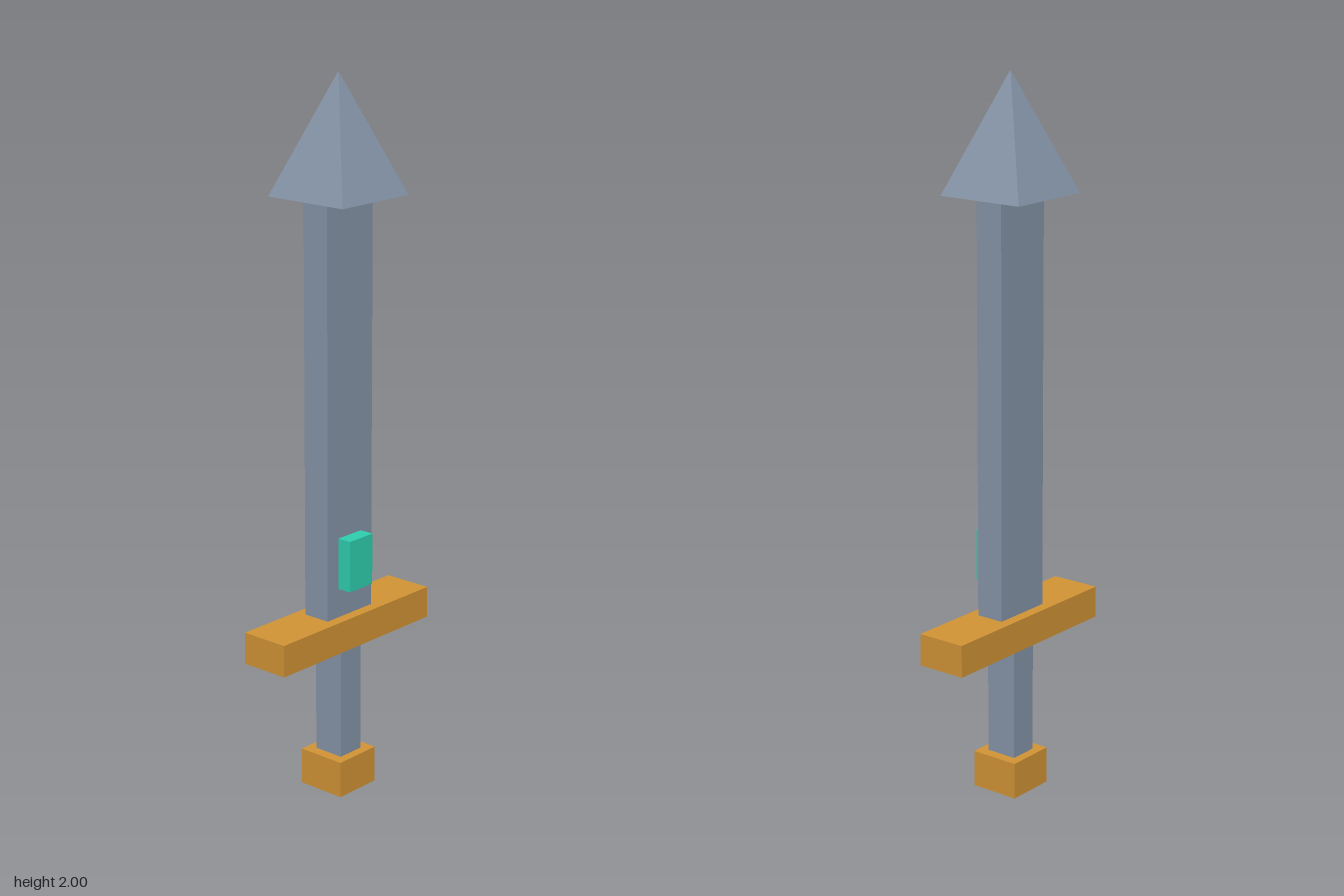
import * as THREE from 'three';

export function createModel() {
  const sword = new THREE.Group();
  sword.name = 'sword';

  const material = (color, side = THREE.FrontSide) =>
    new THREE.MeshStandardMaterial({ color, side, flatShading: true });
  const steel = material(0x8796aa);
  const gold = material(0xd39536);
  const teal = material(0x2fd0b0);

  // Box centred on x, spanning y0..y1 and z0..z1
  function addBox(name, width, y0, y1, z0, z1, mat) {
    const mesh = new THREE.Mesh(new THREE.BoxGeometry(width, y1 - y0, z1 - z0), mat);
    mesh.position.set(0, (y0 + y1) / 2, (z0 + z1) / 2);
    mesh.name = name;
    sword.add(mesh);
  }

  addBox('pommel', 0.145, 0, 0.104, -0.072, 0.072, gold);
  addBox('grip', 0.083, 0.104, 0.43, -0.046, 0.046, steel);
  addBox('crossguard', 0.595, 0.43, 0.52, -0.072, 0.072, gold);
  addBox('blade', 0.18, 0.52, 1.675, -0.041, 0.041, steel);
  addBox('gem', 0.092, 0.603, 0.748, 0.041, 0.083, teal);

  // Hollow four-sided point, open underneath
  const tipHeight = 0.325;
  const tipGeometry = new THREE.ConeGeometry(0.13 * Math.SQRT2, tipHeight, 4, 1, true);
  tipGeometry.rotateY(Math.PI / 4);
  const tip = new THREE.Mesh(tipGeometry, material(0x8796aa, THREE.DoubleSide));
  tip.position.y = 2 - tipHeight / 2;
  tip.name = 'bladeTip';
  sword.add(tip);

  return sword;
}
